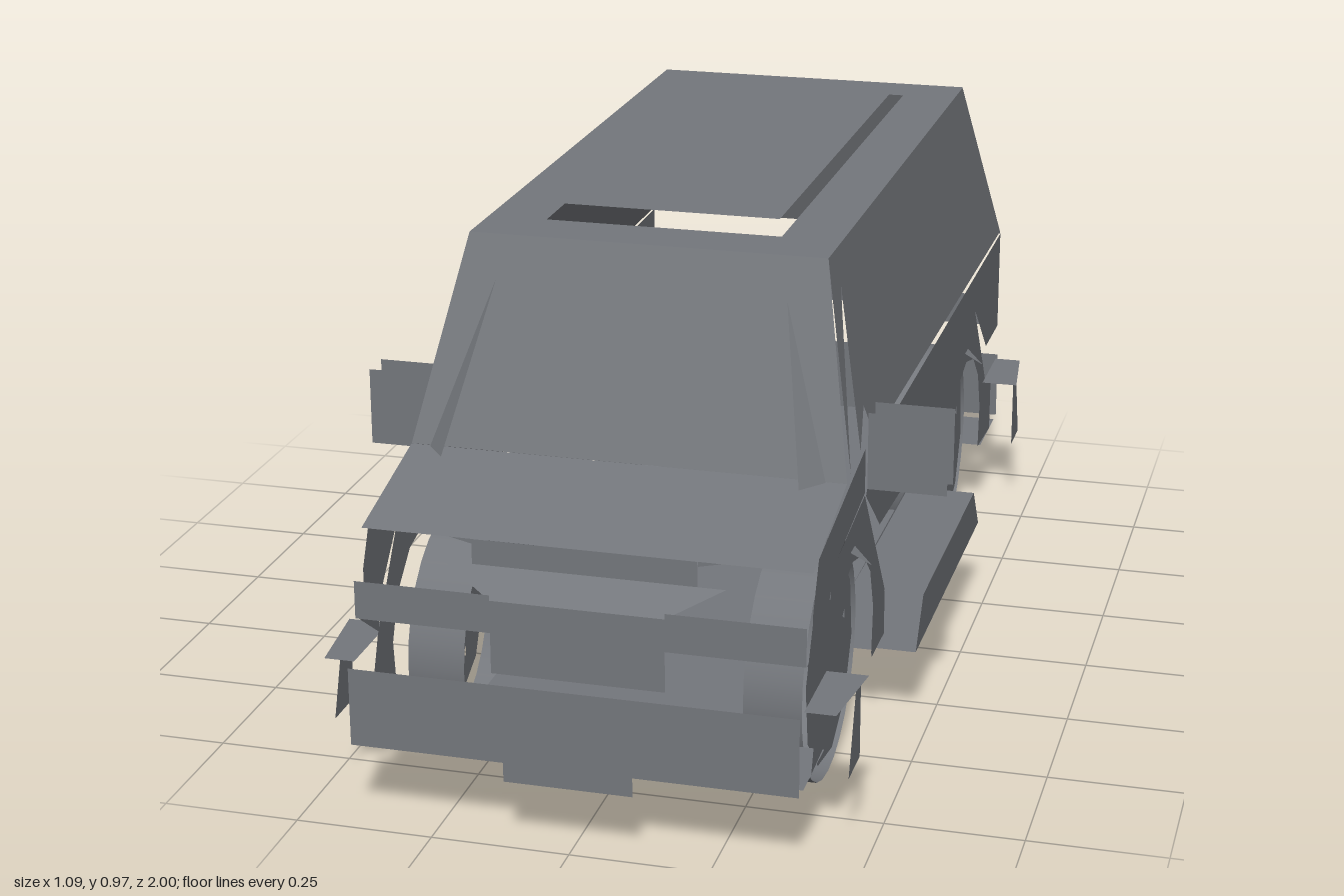
import * as THREE from 'three';

const grey = new THREE.MeshStandardMaterial({ color: 0x74777c, side: THREE.DoubleSide });
grey.name = 'body grey';

export function createModel() {
  const van = new THREE.Group();
  van.name = 'van';

  // Flat panel: 2D outline (with optional holes) placed in space by a rule
  function panel(name, outline, place, holes = []) {
    const shape = new THREE.Shape(outline.map(p => new THREE.Vector2(...p)));
    holes.forEach(h => shape.holes.push(new THREE.Path(h.map(p => new THREE.Vector2(...p)))));
    const geo = new THREE.ShapeGeometry(shape).toNonIndexed();
    const pos = geo.attributes.position;
    for (let i = 0; i < pos.count; i++) pos.setXYZ(i, ...place(pos.getX(i), pos.getY(i)));
    geo.computeVertexNormals();
    const mesh = new THREE.Mesh(geo, grey);
    mesh.name = name;
    van.add(mesh);
  }
  const rect = (a, b, c, d) => [[a, b], [c, b], [c, d], [a, d]];
  const acrossZ = z => (x, y) => [x, y, z];
  const flatY = y => (x, z) => [x, y, z];
  // Panel given as (z, y), repeated on both sides
  function sides(name, outline, xAt) {
    for (const s of [1, -1])
      panel((s > 0 ? 'left' : 'right') + name, outline, (z, y) => [s * xAt(y), y, z]);
  }
  // Panel given as (x, v), mirrored in x
  function mirrored(name, outline, place) {
    for (const s of [1, -1])
      panel((s > 0 ? 'left' : 'right') + name, outline.map(([x, v]) => [s * x, v]), place);
  }
  const tumblehome = y => 0.4 - Math.max(0, y - 0.585) * 0.07 / 0.36;
  const bodyX = () => 0.4;

  // Roof with hatch opening and raised hatch panel
  panel('roof', rect(-0.33, -0.825, 0.33, 0.49), flatY(0.945), [rect(-0.22, -0.72, 0.22, 0.38)]);
  panel('roofHatch', rect(-0.21, -0.7, 0.21, 0.355), flatY(0.97));

  // Windscreen and sloping back
  const cabEnd = [[-0.4, 0.585], [0.4, 0.585], [0.33, 0.945], [-0.33, 0.945]];
  panel('windscreen', cabEnd, (x, y) => [x, y, 0.49 + (0.945 - y) * 0.4]);
  panel('backPanel', cabEnd, (x, y) => [x, y, -0.82 - (0.945 - y) * 0.39]);
  mirrored('WindscreenTrim', [[0.267, 0.875], [0.363, 0.585], [0.326, 0.585]],
    (x, y) => [x, y, 0.495 + (0.945 - y) * 0.4 + (0.363 - Math.abs(x)) * (0.9 - y) * 4]);

  // Upper sides, with split front pillar
  sides('UpperSide', [[0.49, 0.945], [0.6, 0.59], [0.44, 0.885], [0.51, 0.6], [0.435, 0.66],
    [0.4, 0.59], [-0.96, 0.59], [-0.82, 0.945]], tumblehome);

  // Belt panels, front wings, recessed lower doors and sills
  sides('BeltPanel', [[0.47, 0.5], [0.4, 0.57], [-0.96, 0.585], [-0.96, 0.37], [-0.81, 0.37],
    [-0.66, 0.495], [-0.39, 0.47], [-0.29, 0.37], [0.34, 0.395]], bodyX);
  sides('FrontWing', [[0.48, 0.595], [0.85, 0.53], [0.89, 0.445], [0.89, 0.37], [0.93, 0.37],
    [0.83, 0.3], [0.81, 0.37], [0.72, 0.47], [0.48, 0.51]], bodyX);
  sides('LowerDoor', [[0.335, 0.365], [-0.285, 0.365], [-0.25, 0.24], [0.285, 0.24]],
    y => 0.4 - (0.365 - y) * 0.5);
  sides('Sill', [[0.285, 0.24], [-0.255, 0.24], [-0.32, 0.15], [0.35, 0.15]], () => 0.475);
  mirrored('SillTop', rect(0.34, -0.255, 0.475, 0.285), flatY(0.24));
  mirrored('SillBottom', rect(0.4, -0.32, 0.475, 0.35), flatY(0.15));

  // Wheel arches: angular outside, round inside
  const arches = [
    [0.575, [[0.39, 0.15], [0.28, 0.15], [0.28, 0.24], [0.48, 0.505], [0.72, 0.47], [0.835, 0.295], [0.89, 0.15]]],
    [-0.56, [[-0.89, 0.15], [-0.89, 0.295], [-0.81, 0.295], [-0.655, 0.495], [-0.39, 0.47], [-0.27, 0.24], [-0.27, 0.15]]],
  ];
  for (const [cz, outer] of arches) {
    const inner = [];
    for (let i = 0; i <= 8; i++) {
      const a = (-20 + i * 27.5) * Math.PI / 180;
      inner.push([cz + Math.cos(a) * 0.19, 0.225 + Math.sin(a) * 0.19]);
    }
    sides(cz > 0 ? 'FrontArch' : 'RearArch', [...outer, ...inner], bodyX);
    // Small pointed lip on each arch
    mirrored('ArchLip', [[0.4, cz - 0.015], [0.435, cz], [0.4, cz + 0.02]],
      (x, z) => [x, 0.44 - (Math.abs(x) - 0.4) * 0.8, z]);
  }

  // Bonnet, nose and grille
  panel('bonnet', rect(-0.4, 0.635, 0.4, 0.89), (x, z) => [x, 0.585 - (z - 0.635) * 0.25, z]);
  panel('upperGrille', rect(-0.2, 0.475, 0.2, 0.521), acrossZ(0.89));
  mirrored('NoseTip', [[0.2, 0.521], [0.25, 0.521], [0.2, 0.51]], acrossZ(0.885));
  panel('noseShelf', [[-0.25, 0.475], [0.25, 0.475], [0.155, 0.43], [-0.155, 0.43]],
    (x, y) => [x, y, 0.89 + (0.475 - y)]);
  panel('grille', rect(-0.155, 0.295, 0.155, 0.43), acrossZ(0.935));
  mirrored('Headlight', rect(0.155, 0.37, 0.4, 0.44), acrossZ(0.935));

  // Tailgate and tail lights
  panel('tailgate', rect(-0.2, 0.4, 0.2, 0.52), acrossZ(-0.96));
  mirrored('TailLight', rect(0.2, 0.37, 0.4, 0.44), acrossZ(-0.96));

  // Bumpers with corner wings, and blank plates
  for (const s of [1, -1]) {
    const end = s > 0 ? 'front' : 'rear';
    panel(end + 'Bumper', rect(-0.4, 0.15, 0.4, 0.295), acrossZ(s * 0.98));
    panel(end + 'Plate', rect(-0.115, 0.125, 0.115, 0.225), acrossZ(s));
    mirrored('BumperWing', [[0.4, s * 0.78], [0.475, s * 0.78], [0.455, s * 0.95], [0.4, s * 0.95]],
      flatY(0.295));
    sides('BumperEnd', [[s * 0.8, 0.15], [s * 0.89, 0.15], [s * 0.84, 0.295], [s * 0.8, 0.295]],
      () => 0.465);
  }

  // Floor notched for the wheels
  const half = [[0.4, 0.95], [0.4, 0.79], [0.25, 0.79], [0.25, 0.36], [0.4, 0.36],
    [0.4, -0.345], [0.25, -0.345], [0.25, -0.775], [0.4, -0.775], [0.4, -0.95]];
  panel('floor', [...half, ...half.map(([x, z]) => [-x, z]).reverse()], flatY(0.15));

  // Door mirrors: pairs of upright plates
  for (const z of [0.46, 0.4])
    mirrored('DoorMirror', rect(0.4, 0.51, 0.545, 0.655), acrossZ(z));

  // Wheels: open tyre band, ten-sided disc with slots, five-sided hub
  const ngon = (n, r, cx, cy, a0 = 0) => Array.from({ length: n }, (_, i) => {
    const a = a0 + i * 2 * Math.PI / n;
    return [cx + r * Math.cos(a), cy + r * Math.sin(a)];
  });
  for (const cz of [0.575, -0.56]) {
    for (const s of [1, -1]) {
      const tyre = new THREE.Mesh(new THREE.CylinderGeometry(0.219, 0.219, 0.105, 28, 1, true), grey);
      tyre.name = 'tyre';
      tyre.rotation.z = Math.PI / 2;
      tyre.position.set(s * 0.308, 0.219, cz);
      van.add(tyre);
      const slots = ngon(5, 0.125, cz, 0.22, 0.3).map(([z, y]) => ngon(3, 0.012, z, y));
      panel('wheelDisc', ngon(10, 0.19, cz, 0.22, 0.15), (z, y) => [s * 0.36, y, z], slots);
      panel('wheelHub', ngon(5, 0.08, cz, 0.22, 0.6), (z, y) => [s * 0.368, y, z]);
    }
  }
  return van;
}
